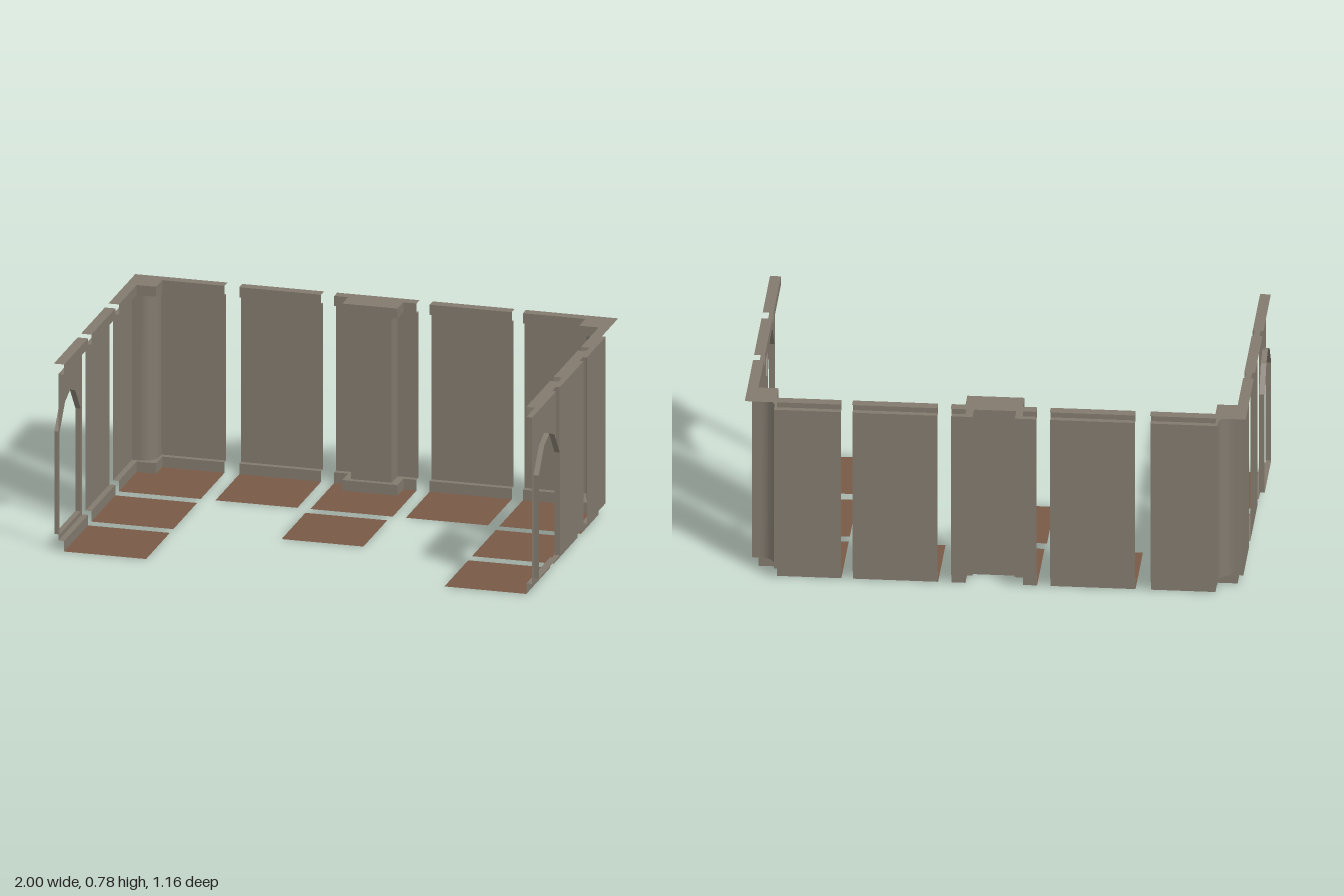
import * as THREE from 'three';
import { toCreasedNormals } from 'three/addons/utils/BufferGeometryUtils.js';

const stone = new THREE.MeshStandardMaterial({ color: 0x827a6e, side: THREE.DoubleSide });
stone.name = 'stone wall';
const clay = new THREE.MeshStandardMaterial({ color: 0x785947, side: THREE.DoubleSide });
clay.name = 'clay floor';

// Heights: skirting top, cornice bottom, cornice top
const SKIRT = 0.044, CORNICE = 0.74, TOP = 0.782;
// Depths of panel and cap behind the face of the trim
const RECESS = 0.024, CAP = 0.043;

function mesh(name, geometry, material = stone) {
  const m = new THREE.Mesh(geometry, material);
  m.name = name;
  return m;
}

// Quads between two matching rows of 3D points
function strip(rowA, rowB) {
  const pos = [];
  for (let i = 0; i < rowA.length - 1; i++) {
    const a = rowA[i], b = rowA[i + 1], c = rowB[i + 1], d = rowB[i];
    pos.push(...a, ...b, ...c, ...a, ...c, ...d);
  }
  const g = new THREE.BufferGeometry();
  g.setAttribute('position', new THREE.Float32BufferAttribute(pos, 3));
  return toCreasedNormals(g, 0.5);
}

// Upright band along a plan path of [x, z]
const band = (path, y0, y1) =>
  strip(path.map(([x, z]) => [x, y0, z]), path.map(([x, z]) => [x, y1, z]));

// Level sheet with a plan outline of [x, z]
function sheet(outline, y, up = true) {
  const s = up ? -1 : 1;
  const shape = new THREE.Shape(outline.map(([x, z]) => new THREE.Vector2(x, s * z)));
  return new THREE.ShapeGeometry(shape).rotateX(s * Math.PI / 2).translate(0, y, 0);
}

const between = (a, b) => [...a, ...[...b].reverse()];

// Wall section: skirting, recessed panel, cornice, cap and floor tile
function section(name, trim, panel, outer, floorEdge, panelGeometry) {
  const g = new THREE.Group();
  g.name = name;
  g.add(
    mesh('skirting', band(trim, 0, SKIRT)),
    mesh('skirtingLedge', sheet(between(trim, panel), SKIRT)),
    mesh('wallPanel', panelGeometry || band(panel, SKIRT, CORNICE)),
    mesh('corniceUnderside', sheet(between(trim, panel), CORNICE, false)),
    mesh('cornice', band(trim, CORNICE, TOP)),
    mesh('wallCap', sheet(between(trim, outer), TOP)),
    mesh('floorTile', sheet(between(trim, floorEdge), 0), clay)
  );
  return g;
}

// Back wall, facing +z
const BACK = -0.54, FRONT_EDGE = -0.2;
function backWall(name, x0, x1) {
  const line = (z) => [[x0, z], [x1, z]];
  return section(name, line(BACK), line(BACK - RECESS), line(BACK - CAP), line(FRONT_EDGE));
}

// Back wall with a square pillar
function pillarWall(x0, x1) {
  const mid = (x0 + x1) / 2 + 0.001;
  const path = (z, half, zp) => [
    [x0, z], [mid - half, z], [mid - half, zp], [mid + half, zp], [mid + half, z], [x1, z]];
  return section('pillarWall', path(BACK, 0.114, -0.457), path(BACK - RECESS, 0.084, -0.478),
    [[x0, BACK - CAP], [x1, BACK - CAP]], [[x0, FRONT_EDGE], [x1, FRONT_EDGE]]);
}

// Side wall at -x, facing +x
const SIDE = -0.954, INNER = -0.616;
function sideWall(name, z0, z1, panelGeometry) {
  const line = (x) => [[x, z1], [x, z0]];
  return section(name, line(SIDE), line(SIDE - RECESS), line(SIDE - CAP), line(INNER), panelGeometry);
}

// Corner with a rounded column
function cornerWall(name) {
  const r = 0.061, cx = -0.944, cz = -0.53;
  const arc = [];
  for (let i = 0; i <= 10; i++) {
    const a = (Math.PI / 2) * (1 - i / 10);
    arc.push([cx + r * Math.cos(a), cz + r * Math.sin(a)]);
  }
  const trim = [[SIDE, FRONT_EDGE], [SIDE, -0.453], [-0.873, -0.453], [-0.873, BACK], [INNER, BACK]];
  const px = SIDE - RECESS, pz = BACK - RECESS;
  const panel = [[px, FRONT_EDGE], [px, cz + r], ...arc, [cx + r, pz], [INNER, pz]];
  const outer = [[SIDE - CAP, FRONT_EDGE], [SIDE - CAP, BACK - CAP], [INNER, BACK - CAP]];
  return section(name, trim, panel, outer, [[INNER, FRONT_EDGE]]);
}

// Side wall with a pointed doorway and a shallow reveal
function doorWall(name) {
  const z0 = 0.241, z1 = 0.581, px = SIDE - RECESS;
  const hole = [[0.262, 0.063], [0.262, 0.493], [0.339, 0.593], [0.411, 0.621],
    [0.485, 0.593], [0.562, 0.493], [0.562, 0.063]];
  const v = (z, y) => new THREE.Vector2(-z, y);
  const shape = new THREE.Shape([v(z1, SKIRT), v(z0, SKIRT), v(z0, CORNICE), v(z1, CORNICE)]);
  shape.holes.push(new THREE.Path(hole.map(([z, y]) => v(z, y))));
  const panel = new THREE.ShapeGeometry(shape).rotateY(Math.PI / 2).translate(px, 0, 0);
  const g = sideWall(name, z0, z1, panel);
  const ring = [...hole, hole[0]];
  g.add(mesh('doorReveal', strip(ring.map(([z, y]) => [px, y, z]), ring.map(([z, y]) => [-1, y, z]))));
  return g;
}

export function createModel() {
  const model = new THREE.Group();
  model.name = 'modularRoom';

  // Back row
  model.add(backWall('backWallRight', -0.555, -0.217), pillarWall(-0.163, 0.177),
    backWall('backWallLeft', 0.231, 0.57));

  // Corners, side walls and doorways, mirrored across x
  for (const side of [1, -1]) {
    const label = side > 0 ? 'Right' : 'Left';
    const wall = sideWall('sideWall' + label, -0.149, 0.192);
    if (side < 0) wall.position.z = -0.004;
    for (const part of [cornerWall('corner' + label), wall, doorWall('doorWall' + label)]) {
      part.scale.x = side;
      model.add(part);
    }
  }

  // Loose floor tile
  model.add(mesh('looseFloorTile',
    sheet([[-0.169, -0.149], [0.169, -0.149], [0.169, 0.192], [-0.169, 0.192]], 0), clay));

  return model;
}
